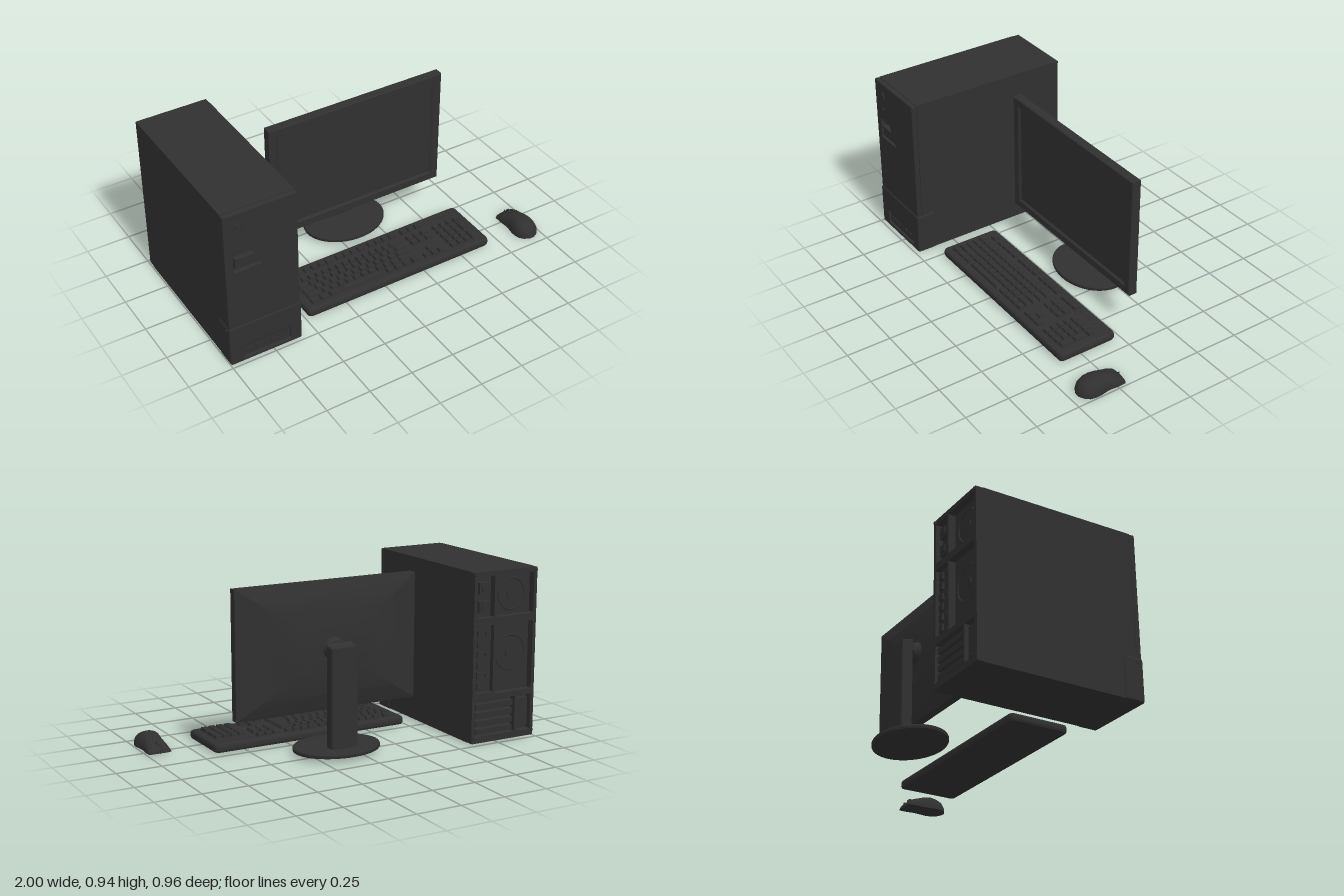
import * as THREE from 'three';
import { toCreasedNormals } from 'three/addons/utils/BufferGeometryUtils.js';
import { RoundedBoxGeometry } from 'three/addons/geometries/RoundedBoxGeometry.js';

const charcoal = new THREE.MeshStandardMaterial({ color: 0x303030 });
charcoal.name = 'charcoal plastic';

function add(parent, name, geo, x = 0, y = 0, z = 0) {
  const m = new THREE.Mesh(geo, charcoal);
  m.name = name;
  m.position.set(x, y, z);
  parent.add(m);
  return m;
}
function group(parent, name) {
  const g = new THREE.Group();
  g.name = name;
  parent.add(g);
  return g;
}
// Box given by its limits
function block(parent, name, x0, x1, y0, y1, z0, z1) {
  return add(parent, name, new THREE.BoxGeometry(x1 - x0, y1 - y0, z1 - z0), (x0 + x1) / 2, (y0 + y1) / 2, (z0 + z1) / 2);
}
function roundRect(x0, x1, y0, y1, r, P = THREE.Shape) {
  const s = new P();
  s.moveTo(x0 + r, y0).lineTo(x1 - r, y0);
  s.quadraticCurveTo(x1, y0, x1, y0 + r).lineTo(x1, y1 - r);
  s.quadraticCurveTo(x1, y1, x1 - r, y1).lineTo(x0 + r, y1);
  s.quadraticCurveTo(x0, y1, x0, y1 - r).lineTo(x0, y0 + r);
  s.quadraticCurveTo(x0, y0, x0 + r, y0);
  return s;
}
// Plate in the xy plane from z0 to z1 with rectangular openings
function plate(shape, holes, z0, z1, bevel = 0) {
  shape.holes = holes.map(h => roundRect(...h, 0.006, THREE.Path));
  const g = new THREE.ExtrudeGeometry(shape, {
    depth: z1 - z0 - 2 * bevel, bevelEnabled: bevel > 0, bevelSize: bevel,
    bevelOffset: -bevel, bevelThickness: bevel, bevelSegments: 2, curveSegments: 5,
  });
  return g.translate(0, 0, z0 + bevel);
}
// Skin over rings of [x, y, z] points, counter-clockwise seen from +z, ordered towards +z
function loft(rings, crease) {
  const n = rings[0].length, idx = [], last = (rings.length - 1) * n;
  for (let i = 0; i < rings.length - 1; i++) for (let j = 0; j < n; j++) {
    const a = i * n + j, b = i * n + (j + 1) % n;
    idx.push(a, b, b + n, a, b + n, a + n);
  }
  for (let j = 1; j < n - 1; j++) idx.push(0, j + 1, j, last, last + j, last + j + 1);
  const g = new THREE.BufferGeometry();
  g.setAttribute('position', new THREE.Float32BufferAttribute(rings.flat(2), 3));
  g.setIndex(idx);
  return toCreasedNormals(g, crease);
}
function knob(parent, name, r, len, x, y, z, axis = 'z') {
  const g = new THREE.CylinderGeometry(r, r, len, 20);
  if (axis === 'z') g.rotateX(Math.PI / 2); else g.rotateZ(Math.PI / 2);
  return add(parent, name, g, x, y, z);
}

function buildTower(root) {
  const t = group(root, 'tower');
  block(t, 'case', -0.995, -0.59, 0.005, 0.94, -0.435, 0.445);
  // Front fascia with drive bay
  add(t, 'frontFascia', plate(roundRect(-0.997, -0.59, 0.23, 0.94, 0.008), [[-0.95, -0.61, 0.59, 0.705]], 0.445, 0.475, 0.006));
  const d = group(t, 'opticalDrive');
  block(d, 'driveFace', -0.94, -0.62, 0.6, 0.64, 0.445, 0.469);
  block(d, 'driveTray', -0.94, -0.62, 0.645, 0.662, 0.445, 0.474);
  block(d, 'driveTop', -0.94, -0.62, 0.692, 0.698, 0.445, 0.468);
  block(d, 'ejectButton', -0.66, -0.635, 0.607, 0.617, 0.465, 0.474);
  block(d, 'driveLight', -0.71, -0.7, 0.607, 0.615, 0.465, 0.472);
  // Buttons
  add(t, 'powerButtonRing', new THREE.TorusGeometry(0.021, 0.004, 8, 24), -0.915, 0.86, 0.475);
  knob(t, 'powerButton', 0.016, 0.012, -0.915, 0.86, 0.474);
  knob(t, 'resetButton', 0.01, 0.012, -0.915, 0.78, 0.474);
  // Lower cover wrapping the front corner
  add(t, 'lowerCover', plate(roundRect(-1, -0.585, 0, 0.24, 0.015), [[-0.925, -0.65, 0.025, 0.1]], 0.365, 0.48, 0.008));
  block(t, 'portPanel', -0.93, -0.645, 0.02, 0.105, 0.44, 0.468);
  for (const x of [-0.885, -0.83]) block(t, 'usbPort', x - 0.02, x + 0.02, 0.053, 0.07, 0.465, 0.473);
  for (const x of [-0.75, -0.7]) knob(t, 'audioJack', 0.011, 0.01, x, 0.06, 0.47);
  for (const x of [-0.998, -0.584]) knob(t, 'coverPin', 0.01, 0.012, x, 0.216, 0.447, 'x');
  // Rear frame with recesses
  add(t, 'rearFrame', plate(roundRect(-0.995, -0.59, 0.005, 0.94, 0.006), [
    [-0.975, -0.735, 0.69, 0.915], [-0.72, -0.61, 0.69, 0.915], [-0.975, -0.735, 0.27, 0.65],
    [-0.72, -0.61, 0.28, 0.65], [-0.87, -0.61, 0.04, 0.24], [-0.975, -0.885, 0.04, 0.24],
  ], -0.475, -0.435));
  for (const y of [0.75, 0.85]) {
    block(t, 'powerSocket', -0.7, -0.63, y - 0.03, y + 0.03, -0.464, -0.43);
    block(t, 'socketCore', -0.685, -0.645, y - 0.015, y + 0.015, -0.47, -0.46);
  }
  block(t, 'portShield', -0.715, -0.615, 0.285, 0.645, -0.455, -0.43);
  for (let i = 0; i < 6; i++) {
    const y = 0.32 + i * 0.057;
    block(t, 'rearPort', -0.66, -0.625, y - 0.018, y + 0.018, -0.466, -0.45);
    if (i % 2) knob(t, 'rearJack', 0.013, 0.014, -0.69, y, -0.459);
  }
  for (const [y, r] of [[0.8, 0.085], [0.48, 0.095]]) {
    add(t, 'fanRing', new THREE.TorusGeometry(r, 0.005, 6, 32), -0.855, y, -0.436);
    knob(t, 'fanHub', 0.03, 0.01, -0.855, y, -0.437);
  }
  for (let i = 0; i < 4; i++) block(t, 'slotCover', -0.86, -0.62, 0.05 + i * 0.046, 0.08 + i * 0.046, -0.468, -0.43);
  block(t, 'slotLatch', -0.965, -0.895, 0.06, 0.22, -0.46, -0.43);
  for (const x of [-0.985, -0.605]) for (const y of [0.035, 0.925]) knob(t, 'rearScrew', 0.008, 0.012, x, y, -0.477);
}

function buildMonitor(root) {
  const m = group(root, 'monitor');
  const cx = 0.0975, cy = 0.5575;
  // Housing from the domed back to the sunken screen: [half width, half height, z]
  const sections = [
    [0.14, 0.09, -0.193], [0.22, 0.142, -0.183], [0.387, 0.25, -0.16], [0.5375, 0.3475, -0.125],
    [0.5375, 0.3475, -0.079], [0.533, 0.343, -0.075], [0.495, 0.305, -0.076], [0.48, 0.295, -0.088],
  ];
  const rect = ([w, h, z]) => [[w, h, z], [-w, h, z], [-w, -h, z], [w, -h, z]];
  add(m, 'housing', loft(sections.map(rect), 0.3), cx, cy, 0);
  add(m, 'screen', new THREE.PlaneGeometry(0.96, 0.59), cx, cy, -0.0875);
  // Swivel mount
  const disc = new THREE.CylinderGeometry(0.064, 0.048, 0.037, 32).rotateX(Math.PI / 2);
  add(m, 'mountDisc', disc, cx, cy, -0.208);
  block(m, 'neck', cx - 0.04, cx + 0.04, 0.54, 0.572, -0.27, -0.22);
  knob(m, 'hinge', 0.017, 0.115, cx, 0.556, -0.238, 'x');
  // Column drawn from the side, then turned to run across x
  const side = new THREE.Shape([[0.25, 0.04], [0.315, 0.04], [0.315, 0.585], [0.25, 0.6]].map(p => new THREE.Vector2(...p)));
  add(m, 'column', plate(side, [], -0.0775, 0.0775, 0.01).rotateY(Math.PI / 2), cx, 0, 0);
  // Oval foot
  const profile = [[0, 0.026], [0.95, 0.021], [0.99, 0.022], [1, 0.027], [1, 0.039], [0.985, 0.044], [0, 0.047]];
  const foot = new THREE.LatheGeometry(profile.map(p => new THREE.Vector2(...p)), 48).scale(0.243, 1, 0.19);
  add(m, 'foot', toCreasedNormals(foot, 0.5), cx, 0, -0.22);
}

function buildKeyboard(root) {
  const k = group(root, 'keyboard');
  // Outline drawn with y as -z, then laid flat
  const body = plate(roundRect(-0.485, 0.68, -0.385, -0.035, 0.03), [], 0.004, 0.053, 0.016).rotateX(-Math.PI / 2);
  add(k, 'keyboardBody', body);
  const key = (x0, x1, z0, z1) => {
    const w = x1 - x0 - 0.004, d = z1 - z0 - 0.004;
    const g = new THREE.CylinderGeometry(0.78 * Math.SQRT1_2, Math.SQRT1_2, 0.022, 4, 1).rotateY(Math.PI / 4).scale(w, 1, d);
    add(k, 'key', toCreasedNormals(g, 0.3), (x0 + x1) / 2, 0.058, (z0 + z1) / 2);
  };
  const run = (x0, x1, n, z0, z1) => {
    const p = (x1 - x0) / n;
    for (let i = 0; i < n; i++) key(x0 + i * p, x0 + (i + 1) * p, z0, z1);
  };
  // Top row of keys
  for (const [x0, x1, n] of [[-0.42, -0.37, 1], [-0.35, -0.165, 4], [-0.145, 0.04, 4], [0.06, 0.245, 4], [0.275, 0.417, 3]]) run(x0, x1, n, 0.068, 0.11);
  // Letter block: widths of the end keys and count between them
  const rows = [[0.046, 13, 0.09], [0.069, 12, 0.08], [0.08, 11, 0.1], [0.1, 10, 0.11]];
  rows.forEach(([a, n, b], i) => {
    const z0 = 0.133 + i * 0.043, z1 = z0 + 0.043;
    key(-0.446, -0.446 + a, z0, z1);
    run(-0.446 + a, 0.248 - b, n, z0, z1);
    key(0.248 - b, 0.248, z0, z1);
  });
  run(-0.446, -0.27, 3, 0.305, 0.348);
  key(-0.27, 0.03, 0.305, 0.348);
  run(0.03, 0.248, 4, 0.305, 0.348);
  // Navigation, arrows and number pad
  for (const z of [0.133, 0.176, 0.305]) run(0.275, 0.417, 3, z, z + 0.043);
  key(0.322, 0.37, 0.262, 0.305);
  for (let r = 0; r < 5; r++) run(0.452, 0.59, 3, 0.133 + r * 0.043, 0.176 + r * 0.043);
  key(0.59, 0.636, 0.133, 0.176);
  for (const z of [0.176, 0.262]) key(0.59, 0.636, z, z + 0.086);
  for (let i = 0; i < 5; i++) block(k, 'indicator', 0.43 + i * 0.04, 0.455 + i * 0.04, 0.052, 0.056, 0.082, 0.09);
}

function buildMouse(root) {
  const m = group(root, 'mouse');
  m.position.x = 0.925;
  // [z, half width, height]
  const st = [[0.197, 0.052, 0.015], [0.204, 0.064, 0.027], [0.25, 0.065, 0.055], [0.3, 0.06, 0.075], [0.33, 0.064, 0.083],
    [0.36, 0.069, 0.086], [0.39, 0.07, 0.08], [0.42, 0.063, 0.067], [0.442, 0.045, 0.047], [0.458, 0.015, 0.018]];
  const rings = st.map(([z, w, h]) => Array.from({ length: 17 }, (_, i) => {
    const a = i * Math.PI / 16, c = Math.cos(a);
    return [w * Math.sign(c) * Math.abs(c) ** 0.8, 0.003 + (h - 0.003) * Math.abs(Math.sin(a)) ** 0.85, z];
  }));
  add(m, 'mouseShell', loft(rings, 1));
  // Oval groove rim following the top of the shell
  const top = z => {
    const i = Math.max(1, st.findIndex(s => s[0] >= z)), [a, b] = [st[i - 1], st[i]];
    return THREE.MathUtils.lerp(a[2], b[2], (z - a[0]) / (b[0] - a[0]));
  };
  const oval = Array.from({ length: 16 }, (_, i) => {
    const a = i * Math.PI / 8, z = 0.25 + 0.042 * Math.sin(a);
    return new THREE.Vector3(0.017 * Math.cos(a), top(z) - 0.001, z);
  });
  add(m, 'wheelRim', new THREE.TubeGeometry(new THREE.CatmullRomCurve3(oval, true), 40, 0.002, 6, true));
  knob(m, 'scrollWheel', 0.016, 0.014, 0, 0.042, 0.236, 'x');
  add(m, 'buttonSeam', new RoundedBoxGeometry(0.006, 0.03, 0.012, 2, 0.002), 0, 0.016, 0.202);
}

export function createModel() {
  const root = new THREE.Group();
  root.name = 'desktopComputer';
  buildTower(root);
  buildMonitor(root);
  buildKeyboard(root);
  buildMouse(root);
  return root;
}
